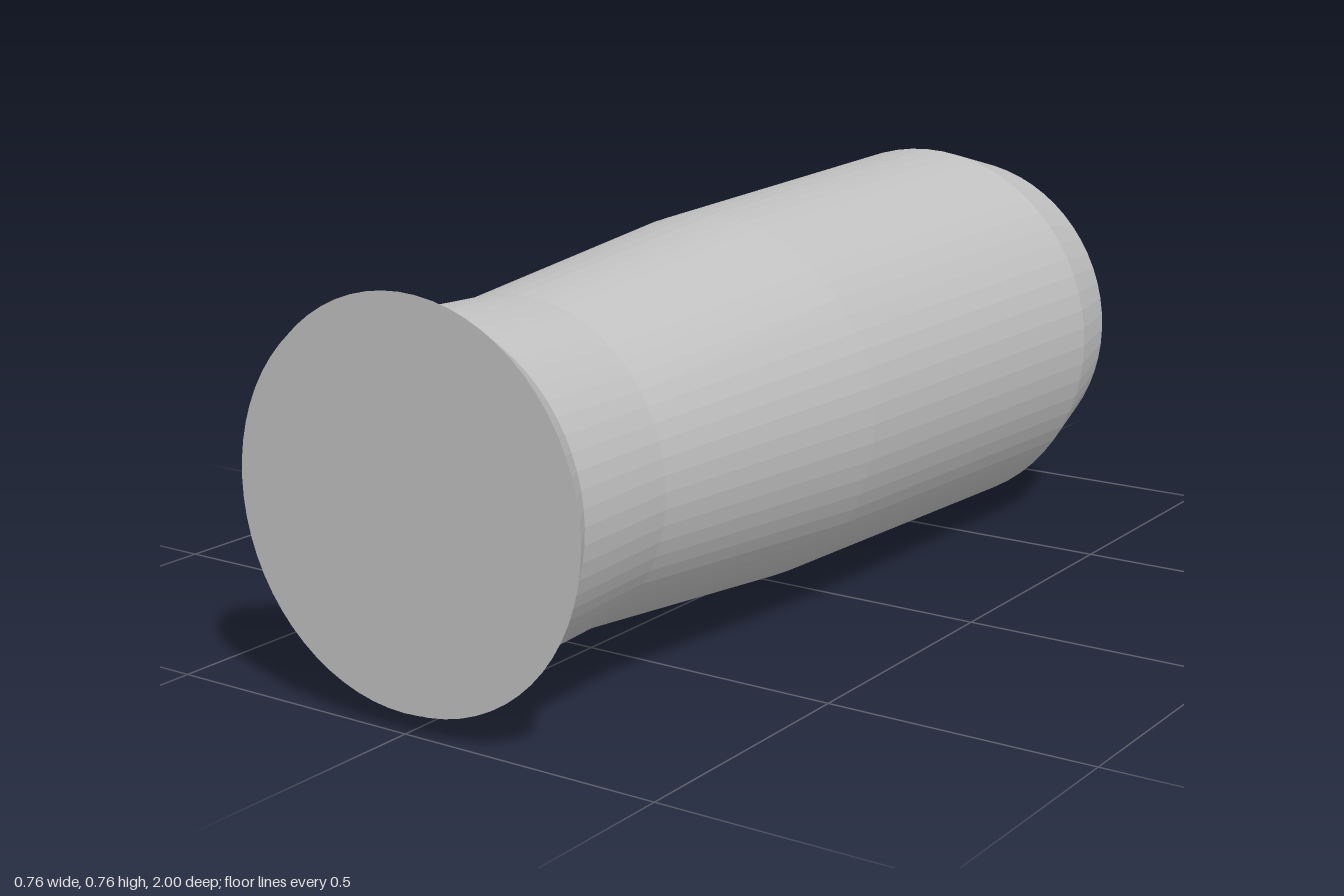
import * as THREE from 'three';

const SIDES = 64;
const AXIS_Y = 0.379;

export function createModel() {
  const group = new THREE.Group();
  const grey = new THREE.MeshStandardMaterial({ color: 0xc0c0c0, flatShading: true });
  grey.name = 'plain grey';

  const add = (name, geometry) => {
    const mesh = new THREE.Mesh(geometry, grey);
    mesh.name = name;
    mesh.position.y = AXIS_Y;
    group.add(mesh);
    return mesh;
  };

  // Turned grip: [radius, z] from the chamfered butt to the flared collar
  const profile = [
    [0, -1], [0.157, -1], [0.333, -0.87], [0.379, -0.69], [0.352, 0.11],
    [0.297, 0.68], [0.306, 0.91], [0.352, 0.98], [0, 0.98],
  ].map(([r, z]) => new THREE.Vector2(r, z));
  add('gripBody', new THREE.LatheGeometry(profile, SIDES).rotateX(Math.PI / 2));

  // Short stem that carries the end disc
  const stem = new THREE.CylinderGeometry(0.236, 0.236, 0.02, SIDES, 1, true).rotateX(Math.PI / 2);
  add('endStem', stem).position.z = 0.99;

  // Flat end disc, just in front of the collar
  add('endDisc', new THREE.CircleGeometry(0.343, SIDES)).position.z = 1;

  return group;
}
